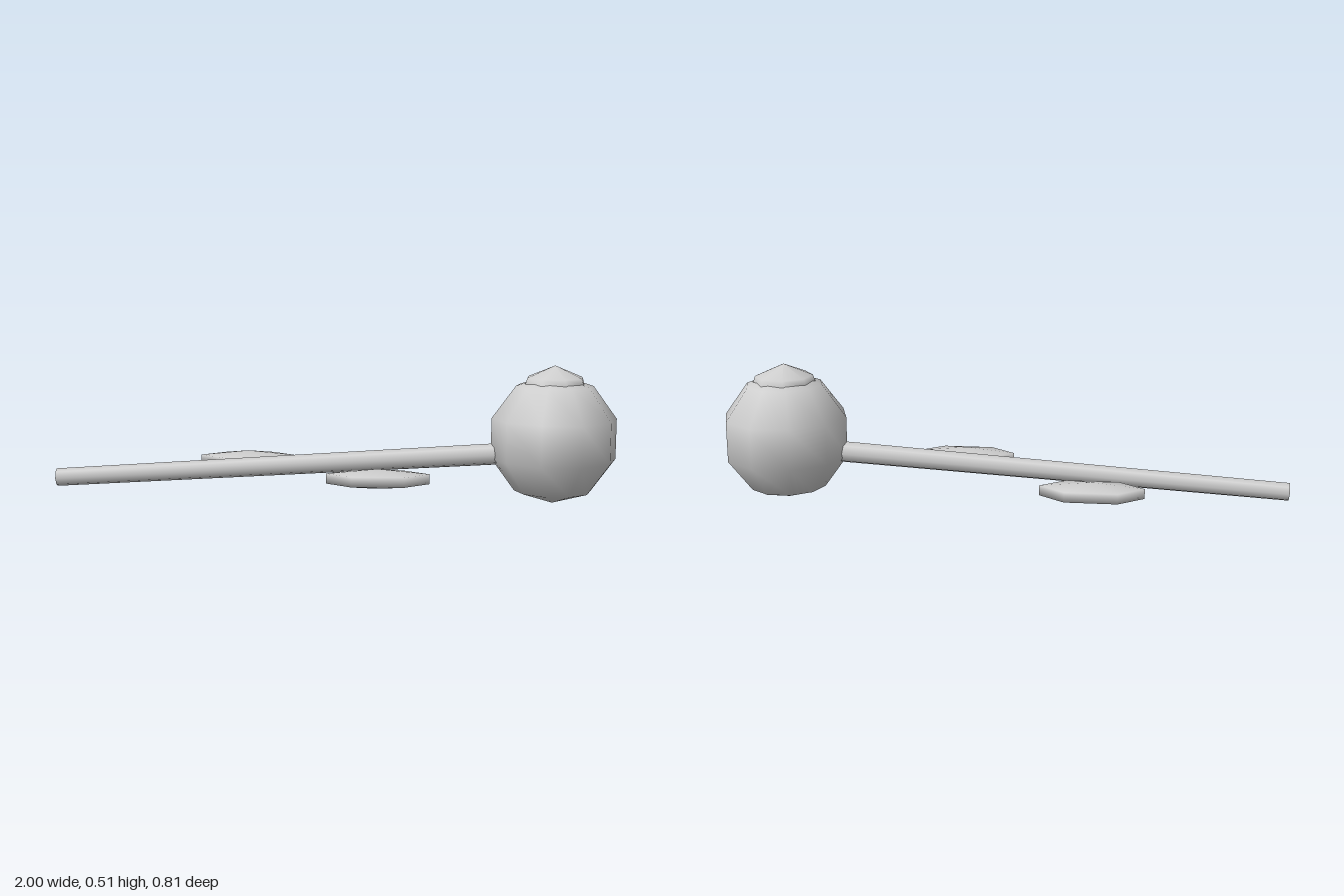
import * as THREE from 'three';

export function createModel() {
  const model = new THREE.Group();
  model.name = 'lyingFlower';
  // everything is laid out along the stem, then turned as one
  model.rotation.y = -Math.PI / 12;

  const grey = new THREE.MeshStandardMaterial({ color: 0xcccccc });
  grey.name = 'plain grey';

  const axisZ = -0.033;
  const add = (name, geometry, x, y, z) => {
    const mesh = new THREE.Mesh(geometry, grey);
    mesh.name = name;
    mesh.position.set(x, y, z);
    model.add(mesh);
    return mesh;
  };

  // stem: slightly tapered rod rising toward the head
  const start = new THREE.Vector3(-1.034, 0.085, axisZ);
  const end = new THREE.Vector3(0.75, 0.191, axisZ);
  const along = end.clone().sub(start);
  const middle = start.clone().add(end).multiplyScalar(0.5);
  const stem = add('stem', new THREE.CylinderGeometry(0.04, 0.033, along.length(), 8),
    middle.x, middle.y, middle.z);
  stem.quaternion.setFromUnitVectors(new THREE.Vector3(0, 1, 0), along.normalize());

  // head: coarse smooth-shaded ball
  add('head', new THREE.SphereGeometry(0.239, 10, 5), 0.8, 0.24, axisZ);

  // low cap on top of the head
  const profile = [[0.122, 0.41], [0.112, 0.443], [0.105, 0.464], [0, 0.508]]
    .map(([r, y]) => new THREE.Vector2(r, y));
  const cap = add('cap', new THREE.LatheGeometry(profile, 8), 0.8, 0, axisZ);
  cap.rotation.y = 0.22;

  // pair of flattened leaves beside the stem
  const leafGeometry = new THREE.SphereGeometry(1, 6, 3).scale(0.212, 0.0355, 0.096);
  add('leftLeaf', leafGeometry, 0.158, 0.122, axisZ + 0.195);
  add('rightLeaf', leafGeometry, -0.339, 0.122, axisZ - 0.2);

  const group = new THREE.Group();
  group.add(model);
  return group;
}
